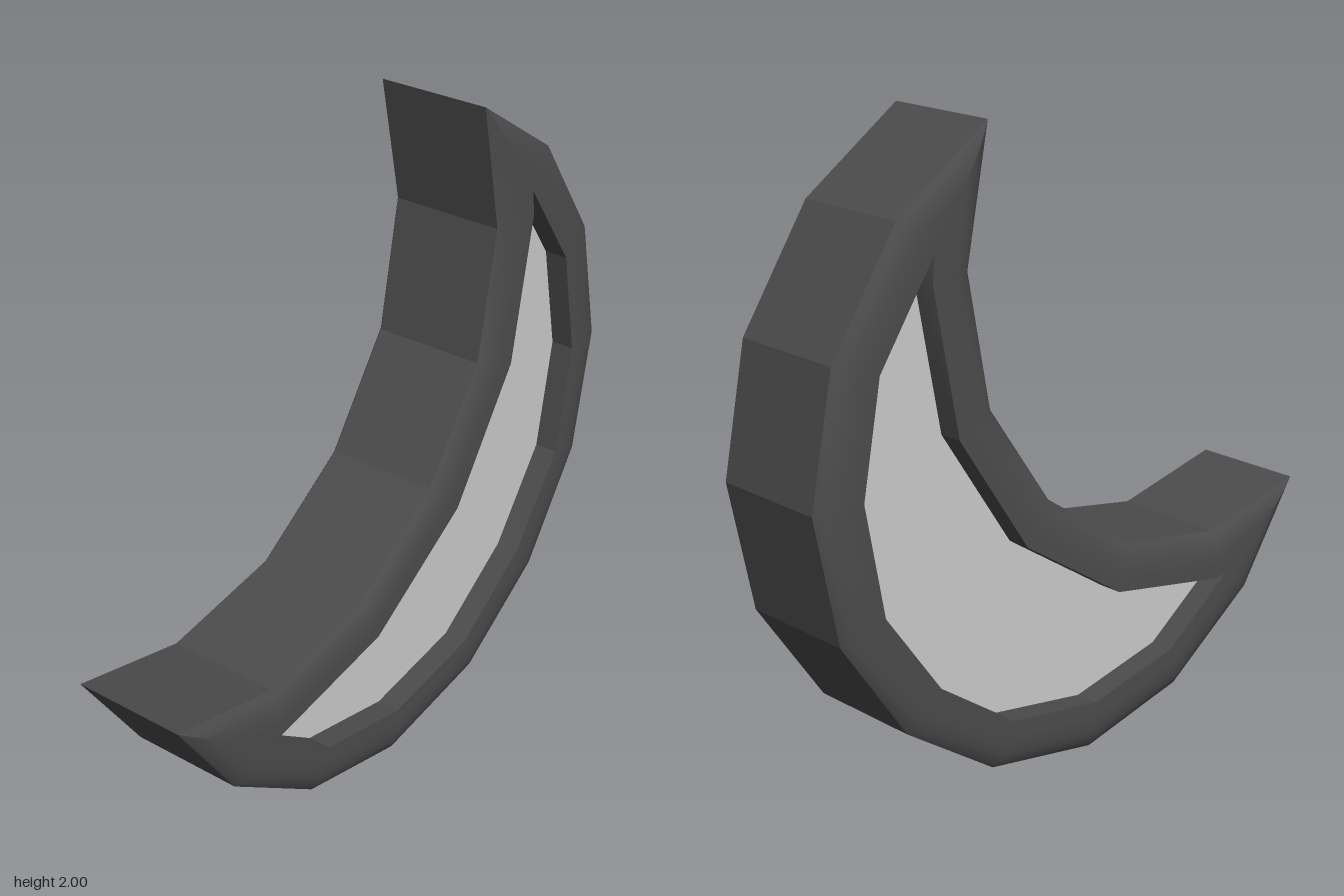
import * as THREE from 'three';
import { toCreasedNormals } from 'three/addons/utils/BufferGeometryUtils.js';

// Outer outline, clockwise from the upper tip
const outer = [
  [0.36, 2], [0.69, 1.78], [0.92, 1.44], [1, 1.05], [0.92, 0.65], [0.69, 0.31], [0.36, 0.08], [-0.05, 0],
  [-0.44, 0.08], [-0.78, 0.31], [-1, 0.63], [-0.61, 0.55], [-0.2, 0.63], [0.13, 0.86], [0.36, 1.19], [0.44, 1.6],
];
// Matching rim of the recess; each tip edge of the outline meets a single inner corner
const inner = [
  [0.58, 1.68], [0.58, 1.68], [0.78, 1.39], [0.845, 1.05], [0.78, 0.7], [0.58, 0.42], [0.3, 0.22], [-0.05, 0.155],
  [-0.39, 0.22], [-0.65, 0.4], [-0.65, 0.4], [-0.61, 0.395], [-0.15, 0.49], [0.24, 0.75], [0.5, 1.14], [0.59, 1.6],
];
const panelZ = 0.135;

// Frame section: [distance from outline (0) to recess (1), z]
const half = [[1, panelZ], [1, 0.209], [0.7, 0.21], [0.45, 0.208], [0.25, 0.202], [0.1, 0.193], [0, 0.182]];
const section = [...half, ...half.slice().reverse().map(([t, z]) => [t, -z])];

function frameGeometry() {
  const point = (i, j) => {
    const k = i % outer.length;
    const [t, z] = section[j];
    return new THREE.Vector3(
      THREE.MathUtils.lerp(outer[k][0], inner[k][0], t),
      THREE.MathUtils.lerp(outer[k][1], inner[k][1], t), z);
  };
  const positions = [];
  const triangle = (a, b, c) => {
    const area = b.clone().sub(a).cross(c.clone().sub(a)).length();
    if (area > 1e-7) for (const p of [a, b, c]) positions.push(p.x, p.y, p.z);
  };
  for (let i = 0; i < outer.length; i++) {
    for (let j = 0; j < section.length - 1; j++) {
      const a = point(i, j), b = point(i + 1, j), c = point(i + 1, j + 1), d = point(i, j + 1);
      triangle(a, b, c);
      triangle(a, c, d);
    }
  }
  const geometry = new THREE.BufferGeometry();
  geometry.setAttribute('position', new THREE.Float32BufferAttribute(positions, 3));
  // Soft bevel, crisp facets around the side
  return toCreasedNormals(geometry, 0.35);
}

export function createModel() {
  const group = new THREE.Group();
  group.name = 'crescentMoon';

  // Dark rounded border
  const frame = new THREE.Mesh(frameGeometry(), new THREE.MeshStandardMaterial({ color: 0x4c4c4c }));
  frame.name = 'frame';

  // Pale panel sunk into both faces
  const corners = inner.filter((p, i) => i !== 1 && i !== 10).map(([x, y]) => new THREE.Vector2(x, y));
  const panelGeometry = new THREE.ExtrudeGeometry(
    new THREE.Shape(corners), { depth: 2 * panelZ, bevelEnabled: false });
  panelGeometry.translate(0, 0, -panelZ);
  const panel = new THREE.Mesh(panelGeometry, new THREE.MeshStandardMaterial({ color: 0xcccccc }));
  panel.name = 'panel';

  group.add(frame, panel);
  return group;
}
